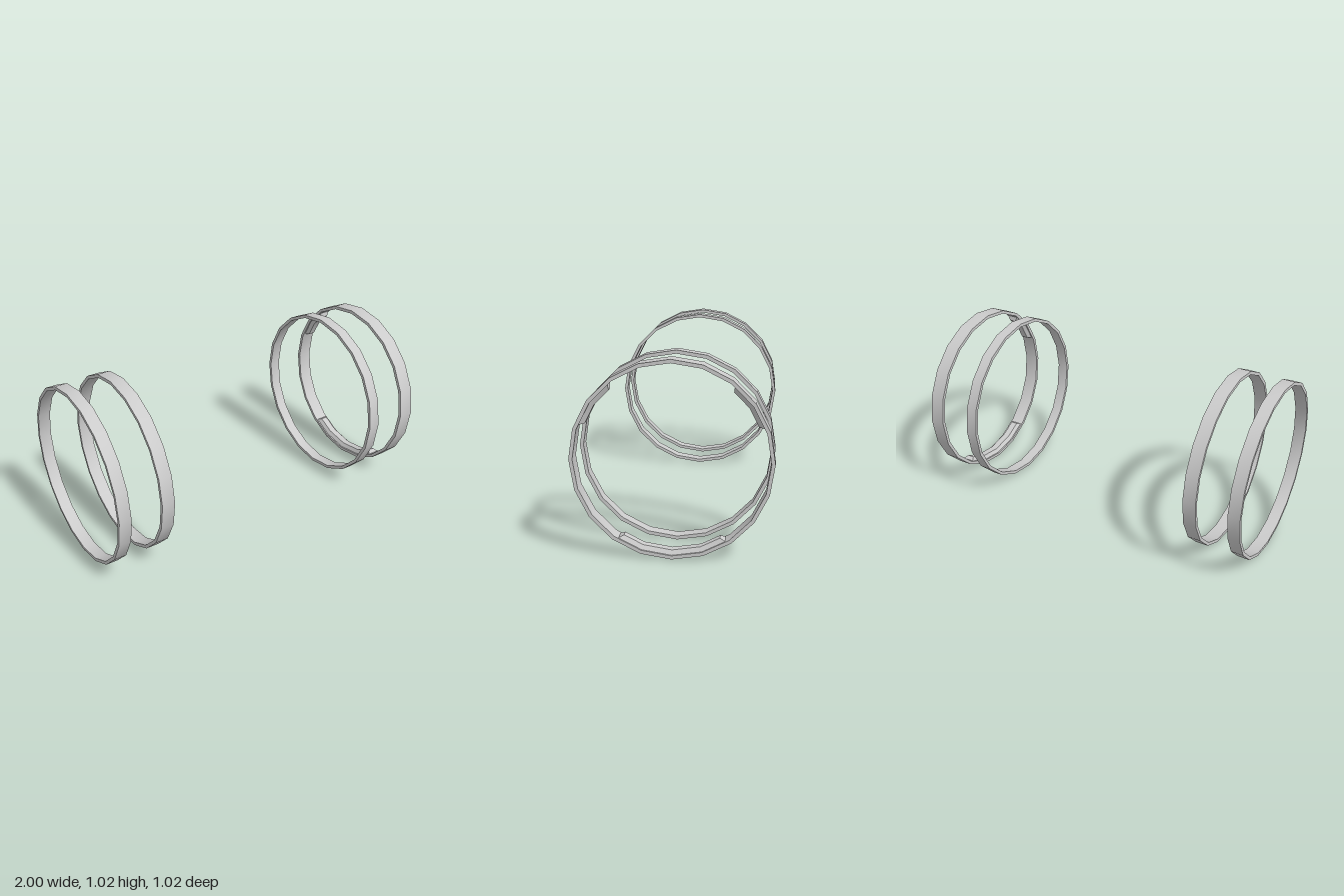
import * as THREE from 'three';
import { toCreasedNormals } from 'three/addons/utils/BufferGeometryUtils.js';

const SIDES = 20, OUTER = 0.508, INNER = 0.489, PAD_TOP = 0.466;
const STEP = 360 / SIDES;
const rad = THREE.MathUtils.degToRad;
const material = new THREE.MeshStandardMaterial({ color: 0xcccccc });

// distance from the centre to a 20-sided ring whose corners lie at radius r
function facetRadius(r, deg) {
  const fromCorner = ((deg % STEP) + STEP) % STEP;
  return r * Math.cos(rad(STEP / 2)) / Math.cos(rad(fromCorner - STEP / 2));
}

// flat band with a rectangular section, its axis along x
function bandGeometry(x0, x1) {
  const h = (x1 - x0) / 2;
  const profile = [[INNER, -h], [OUTER, -h], [OUTER, h], [INNER, h], [INNER, -h]]
    .map(([r, y]) => new THREE.Vector2(r, y));
  const geometry = new THREE.LatheGeometry(profile, SIDES);
  geometry.rotateZ(-Math.PI / 2).translate((x0 + x1) / 2, 0, 0);
  return toCreasedNormals(geometry, 0.6);
}

// bevelled pad on the inside of a band, following its facets;
// angles are measured from the top, in degrees
function padGeometry(angles, x0, x1, bevel) {
  const positions = [], index = [];
  const last = angles.length - 1;
  const put = (x, r, deg) => {
    const d = facetRadius(r, deg);
    positions.push(x, d * Math.cos(rad(deg)), d * Math.sin(rad(deg)));
  };
  angles.forEach((a, i) => {
    const top = a + (i === 0 ? 2 : i === last ? -2 : 0);
    put(x0, INNER + 0.002, a);
    put(x1, INNER + 0.002, a);
    put(x1 - bevel, PAD_TOP, top);
    put(x0 + bevel, PAD_TOP, top);
  });
  for (let i = 0; i < last; i++) {
    for (let k = 0; k < 4; k++) {
      const a = i * 4 + k, b = i * 4 + (k + 1) % 4;
      index.push(a, a + 4, b + 4, a, b + 4, b);
    }
  }
  const e = last * 4;
  index.push(0, 1, 2, 0, 2, 3, e, e + 3, e + 2, e, e + 2, e + 1);
  const geometry = new THREE.BufferGeometry();
  geometry.setAttribute('position', new THREE.Float32BufferAttribute(positions, 3));
  geometry.setIndex(index);
  return toCreasedNormals(geometry, 0.6);
}

export function createModel() {
  const model = new THREE.Group();
  model.name = 'ringSet';
  const add = (name, geometry) => {
    const mesh = new THREE.Mesh(geometry, material);
    mesh.name = name;
    mesh.position.y = OUTER;
    model.add(mesh);
  };

  // two pairs of bands of slightly different widths
  add('rightOuterBand', bandGeometry(-1, -0.93));
  add('rightInnerBand', bandGeometry(-0.75, -0.675));
  add('leftInnerBand', bandGeometry(0.67, 0.735));
  add('leftOuterBand', bandGeometry(0.915, 1));

  // three pads inside the left outer band
  const pads = {
    bottomPad: [146.5, 162, 180, 198, 213.5],
    upperFrontPad: [39, 54, 69],
    upperBackPad: [-69, -54, -39],
  };
  for (const [name, angles] of Object.entries(pads)) {
    add(name, padGeometry(angles, 0.922, 0.993, 0.015));
  }
  return model;
}
